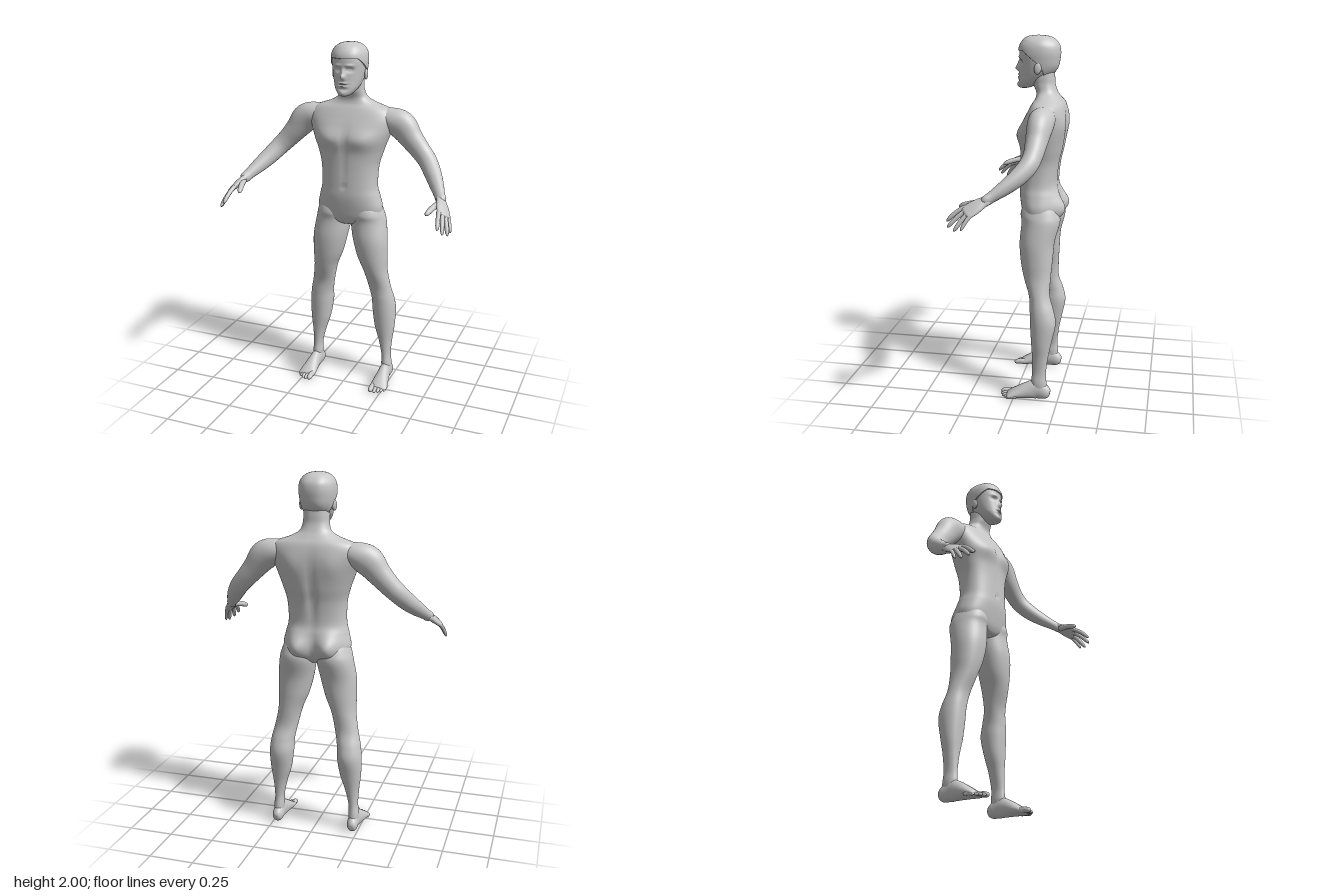
import * as THREE from 'three';

const skin = new THREE.MeshStandardMaterial({ color: 0xc8c8c8 });
skin.name = 'plain grey';

// Smooth interpolation through a list of equally long rows, t in 0..1
function sample(rows, t) {
  const n = rows.length - 1, f = Math.min(t, 1) * n;
  const i = Math.min(Math.floor(f), n - 1), k = f - i;
  const p = j => rows[Math.max(0, Math.min(n, j))];
  return rows[0].map((_, c) => {
    const a = p(i - 1)[c], b = p(i)[c], d = p(i + 1)[c], e = p(i + 2)[c];
    return b + 0.5 * k * (d - a + k * (2 * a - 5 * b + 4 * d - e + k * (3 * (b - d) + e - a)));
  });
}

// Closed skin of rings: point(t, angle) gives [x, y, z]
function rings(point, rows, cols) {
  const pos = [], idx = [];
  for (let i = 0; i <= rows; i++)
    for (let j = 0; j < cols; j++) pos.push(...point(i / rows, (j / cols) * Math.PI * 2));
  for (let i = 0; i < rows; i++)
    for (let j = 0; j < cols; j++) {
      const a = i * cols + j, b = i * cols + (j + 1) % cols;
      idx.push(a, a + cols, b, b, a + cols, b + cols);
    }
  const g = new THREE.BufferGeometry();
  g.setAttribute('position', new THREE.Float32BufferAttribute(pos, 3));
  g.setIndex(idx);
  g.computeVertexNormals();
  return g;
}

// Point on a level section [y, x0, x1, zFront, zBack]
const rounded = (v, p) => Math.sign(v) * Math.abs(v) ** p;
function onSection([y, x0, x1, zf, zb], a, p) {
  return [(x0 + x1) / 2 + (x1 - x0) / 2 * rounded(Math.cos(a), p), y,
    (zf + zb) / 2 + (zf - zb) / 2 * rounded(Math.sin(a), p)];
}

// Mirrored soft bumps [x, y, z, sizeX, sizeY, sizeZ, push along z]
function sculpt([x, y, z], bumps) {
  let dz = 0;
  for (const [bx, by, bz, sx, sy, sz, push] of bumps)
    dz += push * Math.exp(-(((Math.abs(x) - bx) / sx) ** 2) - ((y - by) / sy) ** 2 - ((z - bz) / sz) ** 2);
  return [x, y, z + dz];
}

// Upright body part from level sections
function stack(sections, rows, cols, p = 1, bumps = []) {
  return rings((t, a) => sculpt(onSection(sample(sections, t), a, p), bumps), rows, cols);
}

// Limb along a path of [x, y, z, radiusAcross, radiusOther]; ref is the across direction
function limb(path, ref, rows, cols) {
  const r = new THREE.Vector3(...ref);
  const at = t => new THREE.Vector3(...sample(path, t));
  return rings((t, a) => {
    const tan = at(Math.min(1, t + 0.01)).sub(at(Math.max(0, t - 0.01))).normalize();
    const u = r.clone().addScaledVector(tan, -r.dot(tan)).normalize();
    const v = u.clone().cross(tan);
    const s = sample(path, t);
    return at(t).addScaledVector(u, Math.max(0, s[3]) * Math.cos(a))
      .addScaledVector(v, Math.max(0, s[4]) * Math.sin(a)).toArray();
  }, rows, cols);
}

// Finger or toe from a to b, arched a little
function digit(a, b, r, arch) {
  const path = [[0, 1], [0.25, 0.97], [0.5, 0.93], [0.72, 0.9], [0.88, 0.75], [0.97, 0.42], [1, 0]].map(([t, k]) =>
    [0, 1, 2].map(c => a[c] + (b[c] - a[c]) * t + (c === 1 ? arch * Math.sin(t * Math.PI) : 0)).concat(r * k, r * k));
  return limb(path, [1, 0.2, 0.1], 14, 12);
}

function mirrored(g) {
  const m = g.clone().scale(-1, 1, 1), i = m.index.array;
  for (let k = 0; k < i.length; k += 3) [i[k], i[k + 1]] = [i[k + 1], i[k]];
  m.computeVertexNormals();
  return m;
}

export function createModel() {
  const model = new THREE.Group();
  model.name = 'standingFigure';
  const add = (name, g) => {
    const m = new THREE.Mesh(g, skin);
    m.name = name;
    model.add(m);
  };
  const pair = (name, g) => {
    add(name + 'Left', g);
    add(name + 'Right', mirrored(g));
  };
  const even = rows => rows.map(([y, w, f, b]) => [y, -w, w, f, b]);

  // Torso and neck
  add('torso', stack(even([
    [0.975, 0, -0.11, -0.13], [0.985, 0.06, -0.05, -0.17], [1.02, 0.165, -0.024, -0.2], [1.08, 0.188, -0.01, -0.212],
    [1.15, 0.174, 0, -0.212], [1.21, 0.161, 0, -0.207], [1.32, 0.165, -0.003, -0.218], [1.4, 0.186, -0.003, -0.236],
    [1.48, 0.215, 0, -0.247], [1.55, 0.24, -0.022, -0.25], [1.6, 0.245, -0.045, -0.246], [1.64, 0.215, -0.066, -0.236],
    [1.67, 0.135, -0.083, -0.218], [1.7, 0.085, -0.085, -0.2], [1.74, 0.071, -0.07, -0.186],
    [1.78, 0.069, -0.062, -0.183], [1.83, 0.066, -0.07, -0.18]]), 110, 80, 0.86, [
    [0.095, 1.485, -0.01, 0.075, 0.055, 0.07, 0.016], // chest muscles
    [0, 1.48, 0, 0.016, 0.07, 0.06, -0.006], // breastbone
    [0, 1.33, 0, 0.012, 0.1, 0.06, -0.004], // belly line
    [0, 1.215, 0, 0.01, 0.012, 0.05, -0.008], // navel
    [0.09, 1.075, -0.21, 0.062, 0.075, 0.09, -0.055], // buttocks
    [0, 1.38, -0.23, 0.022, 0.17, 0.06, 0.014], // spine
    [0.11, 1.53, -0.24, 0.06, 0.07, 0.06, -0.01], // shoulder blades
  ]));

  // Head with sculpted face
  const headSections = even([
    [1.718, 0, -0.01, -0.02], [1.724, 0.026, 0.01, -0.05], [1.74, 0.046, 0.016, -0.09], [1.765, 0.064, 0.014, -0.13],
    [1.795, 0.076, 0.011, -0.17], [1.83, 0.085, 0.008, -0.194], [1.87, 0.091, 0.007, -0.203], [1.905, 0.093, 0.008, -0.206],
    [1.94, 0.087, 0.003, -0.2], [1.968, 0.068, -0.018, -0.178], [1.984, 0.042, -0.045, -0.148], [1.99, 0, -0.09, -0.1]]);
  add('head', stack(headSections, 110, 110, 0.92, [
    [0, 1.825, 0, 0.013, 0.015, 0.05, 0.022], // nose tip
    [0, 1.85, 0, 0.009, 0.02, 0.05, 0.013], // nose bridge
    [0.034, 1.862, 0, 0.018, 0.012, 0.05, -0.014], // eye sockets
    [0.034, 1.885, 0, 0.025, 0.008, 0.05, 0.006], // brows
    [0.035, 1.861, 0, 0.01, 0.006, 0.05, 0.006], // eyelids
    [0, 1.792, 0, 0.022, 0.005, 0.05, 0.007], // upper lip
    [0, 1.784, 0, 0.025, 0.003, 0.05, -0.005], // mouth
    [0, 1.776, 0, 0.019, 0.005, 0.05, 0.007], // lower lip
    [0, 1.76, 0, 0.025, 0.007, 0.05, -0.005], // above chin
    [0, 1.738, 0, 0.018, 0.011, 0.05, 0.006], // chin
  ]));

  // Hair cap, low at the nape and high at the forehead
  const headAt = y => {
    let lo = 0, hi = 1;
    for (let k = 0; k < 24; k++) {
      const mid = (lo + hi) / 2;
      if (sample(headSections, mid)[0] < y) lo = mid; else hi = mid;
    }
    return sample(headSections, lo);
  };
  add('hair', rings((t, a) => {
    const s = Math.sin(a);
    const line = s > 0 ? 1.86 + 0.06 * Math.min(1, s * 1.5) : 1.86 - 0.095 * Math.min(1, -s * 1.3);
    const y = line + (1.99 - line) * Math.sin(Math.max(0, t - 0.04) / 0.96 * Math.PI / 2);
    const p = onSection(headAt(y), a, 0.92);
    const k = (t < 0.02 ? 0.96 : 1.07) + 0.012 * Math.sin(a * 7 + t * 5) * Math.sin(t * Math.PI);
    return [p[0] * k, y + 0.01 * Math.min(1, t * 2), (p[2] + 0.1) * k - 0.1];
  }, 40, 80));

  // Ears
  const ear = new THREE.SphereGeometry(1, 20, 14).scale(0.011, 0.032, 0.02);
  pair('ear', ear.rotateX(-0.2).rotateY(0.3).translate(0.09, 1.832, -0.105));

  // Legs
  pair('leg', stack([
    [1.13, 0.07, 0.14, -0.08, -0.17], [1.1, 0.03, 0.172, -0.035, -0.205], [1.05, 0.012, 0.193, -0.018, -0.228],
    [1, 0.004, 0.206, -0.024, -0.234], [0.895, 0.022, 0.221, -0.016, -0.208], [0.79, 0.05, 0.223, -0.025, -0.2],
    [0.7, 0.086, 0.223, -0.045, -0.194], [0.6, 0.11, 0.24, -0.078, -0.192], [0.52, 0.126, 0.258, -0.085, -0.216],
    [0.445, 0.13, 0.266, -0.088, -0.23], [0.34, 0.146, 0.263, -0.095, -0.21], [0.25, 0.174, 0.252, -0.102, -0.192],
    [0.16, 0.194, 0.246, -0.104, -0.182], [0.1, 0.194, 0.252, -0.1, -0.185], [0.05, 0.2, 0.248, -0.11, -0.185],
    [0.03, 0.215, 0.235, -0.14, -0.16]].reverse(), 90, 48, 0.95));

  // Feet
  pair('foot', limb([
    [0.222, 0.035, -0.206, 0, 0], [0.222, 0.036, -0.202, 0.018, 0.022], [0.223, 0.042, -0.18, 0.03, 0.041],
    [0.223, 0.056, -0.13, 0.031, 0.056], [0.225, 0.049, -0.085, 0.036, 0.049], [0.227, 0.034, -0.03, 0.045, 0.034],
    [0.229, 0.022, 0.01, 0.05, 0.022], [0.231, 0.015, 0.033, 0.045, 0.013], [0.231, 0.014, 0.042, 0, 0]],
  [1, 0, 0], 40, 32));
  [[0.196, 0.078, 0.016], [0.219, 0.076, 0.011], [0.238, 0.066, 0.011], [0.254, 0.053, 0.01], [0.269, 0.038, 0.01]]
    .forEach(([x, z, r], i) => pair('toe' + (i + 1),
      digit([x - 0.001, r + 0.006, z - 0.06], [x, r * 0.8, z], r, 0.004)));

  // Arms
  pair('arm', limb([
    [0.13, 1.585, -0.15, 0, 0], [0.15, 1.585, -0.15, 0.045, 0.05], [0.215, 1.583, -0.152, 0.066, 0.068],
    [0.285, 1.555, -0.15, 0.08, 0.066], [0.345, 1.487, -0.143, 0.065, 0.057], [0.4, 1.427, -0.135, 0.056, 0.05],
    [0.443, 1.382, -0.118, 0.052, 0.048], [0.485, 1.333, -0.075, 0.048, 0.044], [0.525, 1.287, -0.018, 0.041, 0.036],
    [0.56, 1.247, 0.04, 0.031, 0.027], [0.58, 1.224, 0.075, 0.027, 0.022], [0.59, 1.212, 0.095, 0, 0]],
  [0.7, 0.7, 0.1], 70, 36));

  // Hands
  const across = [0.65, -0.49, -0.58];
  pair('palm', limb([
    [0.568, 1.238, 0.045, 0, 0], [0.572, 1.233, 0.055, 0.024, 0.018], [0.583, 1.221, 0.082, 0.031, 0.019],
    [0.598, 1.203, 0.113, 0.04, 0.018], [0.612, 1.185, 0.142, 0.043, 0.015], [0.622, 1.173, 0.162, 0.038, 0.011],
    [0.626, 1.168, 0.17, 0, 0]], across, 30, 24));
  [[0.613, 1.125, 0.26], [0.638, 1.1, 0.25], [0.656, 1.086, 0.214], [0.662, 1.092, 0.178]].forEach((tip, i) => {
    const k = (i - 1.5) * 0.021, base = [0.614, 1.182, 0.148].map((c, j) => c + across[j] * k);
    pair('finger' + (i + 1), digit(base, tip, i === 3 ? 0.0105 : 0.0125, 0.008));
  });
  pair('thumb', digit([0.574, 1.215, 0.09], [0.537, 1.183, 0.215], 0.0165, 0.006));

  return model;
}
